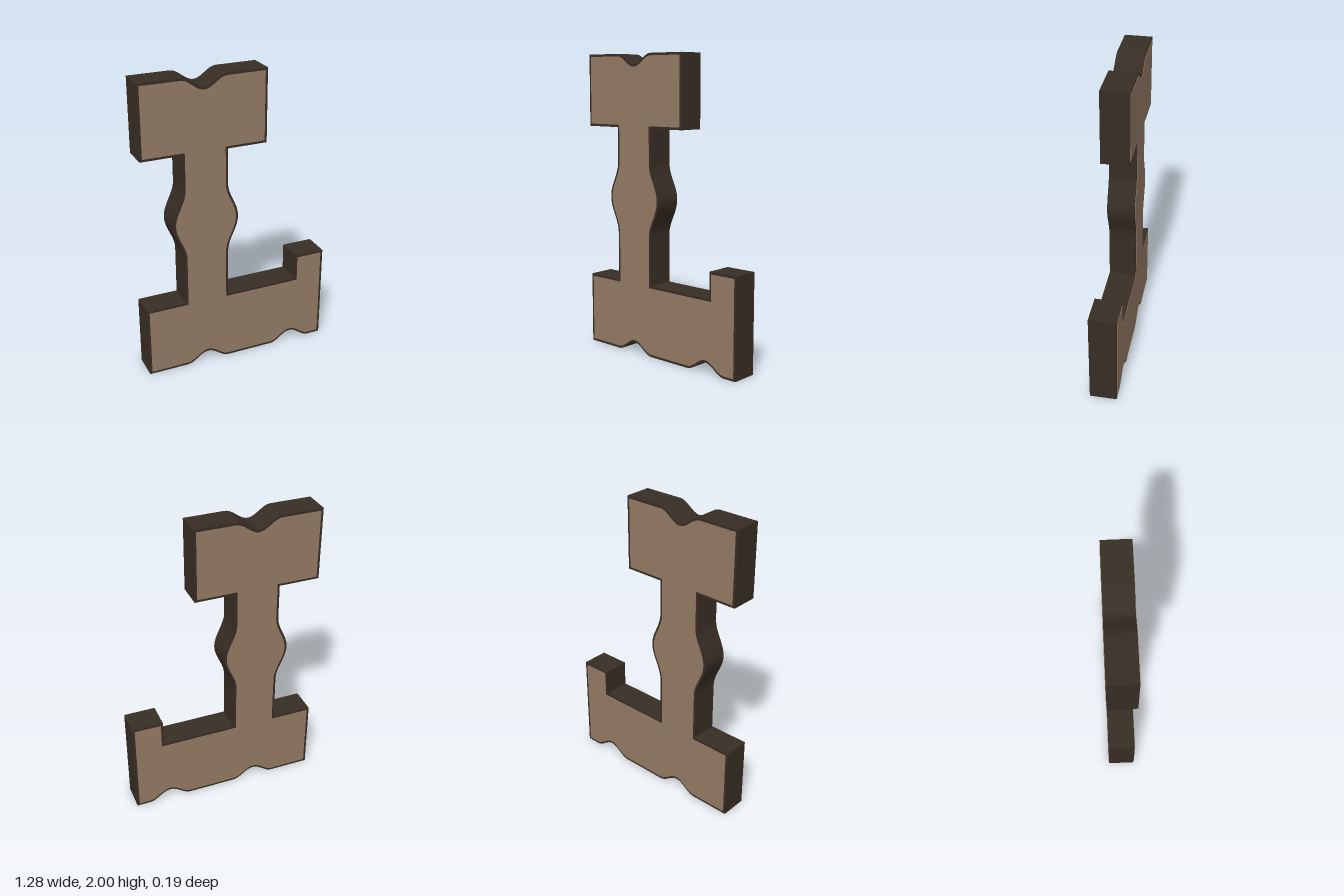
import * as THREE from 'three';
import { toCreasedNormals } from 'three/addons/utils/BufferGeometryUtils.js';

const BODY_HALF = 0.09;   // half thickness of the dark slab
const PLATE = 0.003;      // thickness of the face panels
const BORDER = 0.016;     // width of the dark rim

// Points of a smooth wave swelling by `height` from a straight edge.
// (dx, dy) is the travel direction, (nx, ny) the swelling direction.
function wave(cx, cy, dx, dy, nx, ny, half, height) {
  const points = [];
  for (let i = 0; i <= 24; i++) {
    const t = i / 12 - 1;
    const h = height * (0.5 + 0.5 * Math.cos(Math.PI * t));
    points.push(new THREE.Vector2(cx + dx * half * t + nx * h, cy + dy * half * t + ny * h));
  }
  return points;
}

// Counter-clockwise silhouette, shrunk inwards by d.
function outline(d) {
  const p = (x, y) => new THREE.Vector2(x, y);
  const left = -0.64 + d, right = 0.64 - d;
  const stemL = -0.37 + d, stemR = -0.07 - d;
  const base = 0.485 - d, headBottom = 1.52 + d, headR = 0.195 - d;
  const top = 2 - d;
  return new THREE.Shape([
    // foot with two scooped notches
    p(left, d),
    ...wave(-0.22, d, 1, 0, 0, 1, 0.15, 0.07),
    ...wave(0.4, d, 1, 0, 0, 1, 0.15, 0.07),
    p(right, d),
    // upright tip
    p(right, 0.66 - d), p(0.43 + d, 0.66 - d), p(0.43 + d, base),
    // right side of the stem
    p(stemR, base),
    ...wave(stemR, 1.05, 0, 1, 1, 0, 0.24, 0.07),
    p(stemR, headBottom),
    // head block with one notch
    p(headR, headBottom), p(headR, top),
    ...wave(-0.22, top, -1, 0, 0, -1, 0.15, 0.07),
    p(left, top), p(left, headBottom),
    // left side of the stem
    p(stemL, headBottom),
    ...wave(stemL, 1.05, 0, -1, -1, 0, 0.24, 0.07),
    p(stemL, base), p(left, base),
  ]);
}

function slab(name, inset, depth, z, material) {
  const geometry = new THREE.ExtrudeGeometry(outline(inset), { depth, bevelEnabled: false });
  const mesh = new THREE.Mesh(toCreasedNormals(geometry, 0.6), material);
  mesh.name = name;
  mesh.position.z = z;
  return mesh;
}

export function createModel() {
  const darkWood = new THREE.MeshStandardMaterial({ color: 0x372d24 });
  darkWood.name = 'dark brown';
  const lightWood = new THREE.MeshStandardMaterial({ color: 0x937a64 });
  lightWood.name = 'light brown';

  const model = new THREE.Group();
  model.name = 'carvedSlab';
  model.add(
    slab('body', 0, BODY_HALF * 2, -BODY_HALF, darkWood),
    slab('frontPanel', BORDER, PLATE, BODY_HALF, lightWood),
    slab('backPanel', BORDER, PLATE, -BODY_HALF - PLATE, lightWood),
  );
  return model;
}
